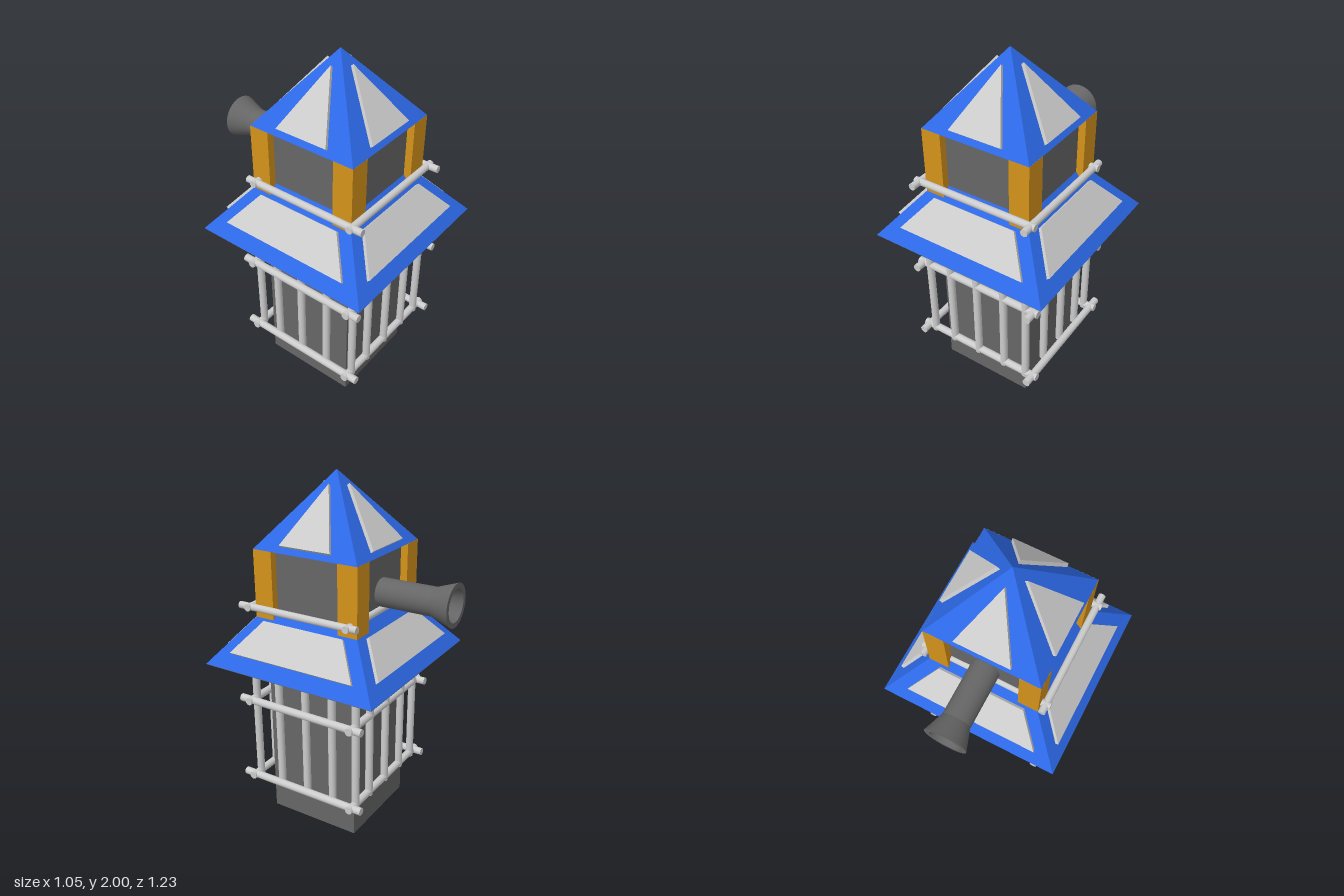
import * as THREE from 'three';

const material = (color, extra = {}) => new THREE.MeshStandardMaterial({ color, ...extra });
const grey = material(0xcccccc);
const dark = material(0x666666);
const darkOpen = material(0x666666, { side: THREE.DoubleSide });
const blue = material(0x2c68e6, { flatShading: true });
const orange = material(0xd4921a);

const AXIS_Z = 0.09; // the tower stands forward of the pipe

function add(parent, name, geometry, mat, x = 0, y = 0, z = 0) {
  const mesh = new THREE.Mesh(geometry, mat);
  mesh.name = name;
  mesh.position.set(x, y, z);
  parent.add(mesh);
  return mesh;
}

// Round bar along one axis, between two coordinates
function bar(parent, name, axis, from, to, x, y, z, radius = 0.022) {
  const mesh = add(parent, name, new THREE.CylinderGeometry(radius, radius, to - from, 20), grey, x, y, z);
  mesh.position[axis] = (from + to) / 2;
  if (axis === 'x') mesh.rotation.z = Math.PI / 2;
  if (axis === 'z') mesh.rotation.x = Math.PI / 2;
}

// Pyramid roof with a raised panel on each slope; outline is [across, up the slope]
function roof(parent, name, half, eaveY, height, outline) {
  const group = new THREE.Group();
  group.name = name;
  group.position.set(0, eaveY, AXIS_Z);
  parent.add(group);

  const cone = new THREE.ConeGeometry(half * Math.SQRT2, height, 4);
  cone.rotateY(Math.PI / 4);
  add(group, name + 'Pyramid', cone, blue, 0, height / 2, 0);

  const shape = new THREE.Shape(outline.map(([x, y]) => new THREE.Vector2(x, y)));
  const panel = new THREE.ExtrudeGeometry(shape, { depth: 0.03, bevelEnabled: false });
  panel.translate(0, 0, -0.01);
  panel.rotateX(-Math.atan2(half, height));
  panel.translate(0, 0, half);
  for (let i = 0; i < 4; i++) {
    add(group, name + 'Panel', panel, grey).rotation.y = (i * Math.PI) / 2;
  }
}

export function createModel() {
  const model = new THREE.Group();
  model.name = 'tower';

  // Square core
  add(model, 'core', new THREE.BoxGeometry(0.556, 1.61, 0.556), dark, 0, 0.805, AXIS_Z);

  // Corner posts between the roofs
  for (const sx of [-1, 1]) {
    for (const sz of [-1, 1]) {
      add(model, 'cornerPost', new THREE.BoxGeometry(0.116, 0.635, 0.116), orange,
        sx * 0.262, 1.288, AXIS_Z + sz * 0.262);
    }
  }

  // Roofs, with the dark soffit below the lower one
  roof(model, 'upperRoof', 0.32, 1.605, 0.395, [[-0.155, 0.035], [0.155, 0.035], [0, 0.41]]);
  roof(model, 'lowerRoof', 0.525, 0.977, 0.645,
    [[-0.385, 0.09], [0.385, 0.09], [0.25, 0.305], [-0.25, 0.305]]);
  add(model, 'soffit', new THREE.BoxGeometry(1.046, 0.004, 1.046), dark, 0, 0.975, AXIS_Z);

  // Cage uprights: front and back rows, then the sides between the corners
  const cage = new THREE.Group();
  cage.name = 'cage';
  model.add(cage);
  const frontZ = 0.437, backZ = -0.225;
  for (const z of [frontZ, backZ]) {
    for (const x of [-0.322, -0.177, 0, 0.177, 0.322]) bar(cage, 'upright', 'y', 0.225, 1.0, x, 0, z);
  }
  for (const x of [-0.335, 0.335]) {
    for (const z of [0.268, AXIS_Z, -0.082]) bar(cage, 'upright', 'y', 0.225, 1.0, x, 0, z);
  }

  // Cage rails
  for (const y of [0.245, 0.735]) {
    for (const z of [frontZ, backZ]) bar(cage, 'crossRail', 'x', -0.395, 0.4, 0, y, z);
    for (const x of [-0.365, 0.37]) bar(cage, 'sideRail', 'z', -0.29, 0.505, x, y, 0);
  }

  // Balcony rails above the lower roof
  for (const z of [0.43, -0.19]) bar(model, 'balconyCrossRail', 'x', -0.372, 0.372, 0, 1.29, z, 0.02);
  for (const x of [-0.345, 0.345]) bar(model, 'balconySideRail', 'z', -0.245, 0.495, x, 1.29, 0, 0.02);

  // Hollow flared pipe at the back: [radius, distance behind centre]
  const profile = [[0.078, 0.17], [0.078, 0.5], [0.118, 0.615], [0.09, 0.615], [0.06, 0.5], [0.06, 0.4], [0, 0.4]];
  // Repeating the corner points keeps the rims sharp
  const points = profile.flatMap(([r, d]) => [0, 1].map(() => new THREE.Vector2(r, d)));
  for (let i = 0; i < profile.length - 1; i++) {
    const segment = new THREE.LatheGeometry([points[i * 2 + 1], points[i * 2 + 2]], 32);
    add(model, 'pipe', segment, darkOpen, 0, 1.385, 0).rotation.x = -Math.PI / 2;
  }

  return model;
}
